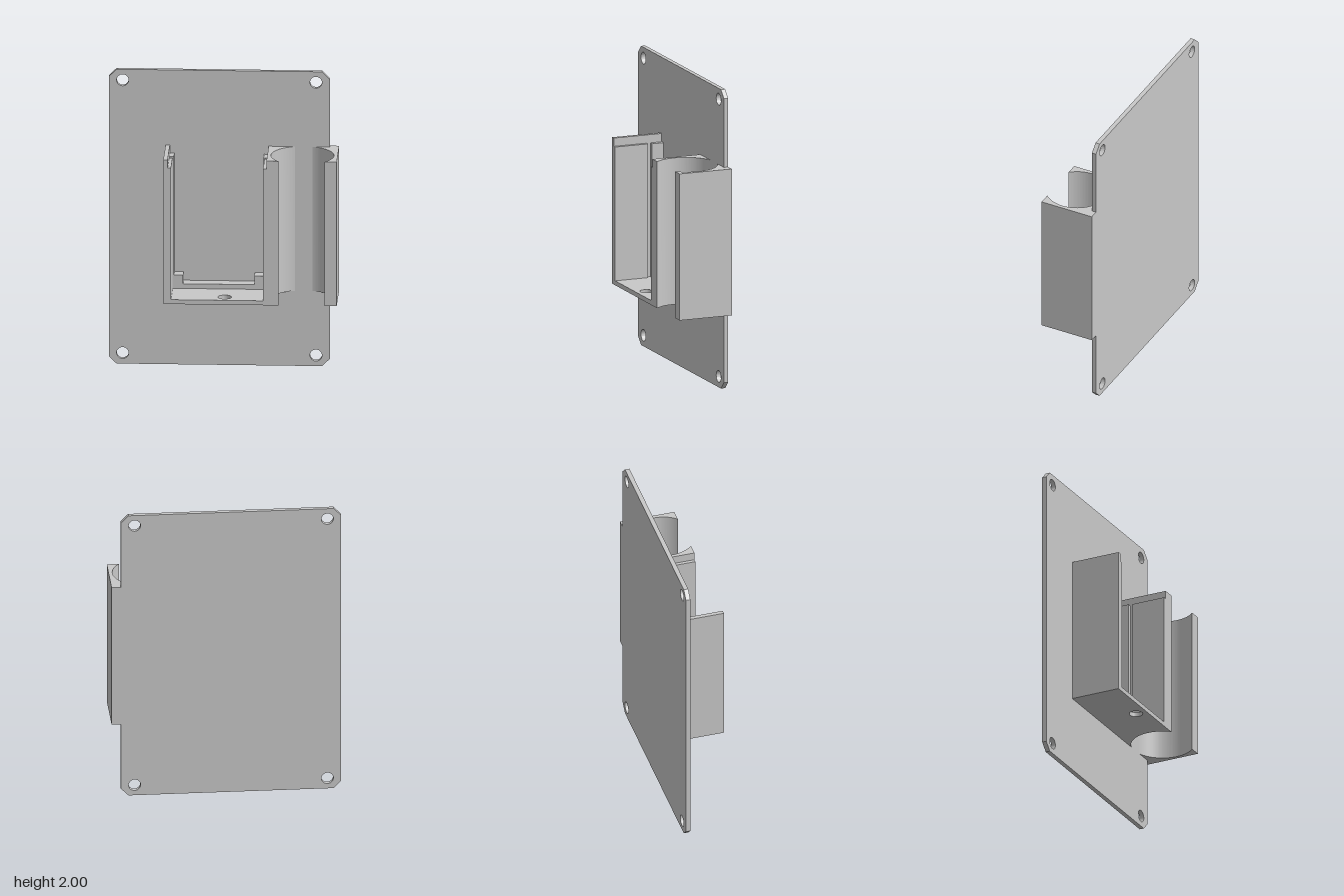
import * as THREE from 'three';
import { toCreasedNormals } from 'three/addons/utils/BufferGeometryUtils.js';

const BACK = -0.185, FACE = -0.155, FRONT = 0.183; // depth levels
const LIP = -0.074, RAIL = -0.047; // groove between back lip and rail
const LOW = 0.51, FLOOR = 0.54, LEDGE = 1.435, HIGH = 1.49; // height levels

export function createModel() {
  const model = new THREE.Group();
  const grey = new THREE.MeshStandardMaterial({ color: 0xc8c8c8 });
  grey.name = 'light grey plastic';

  const add = (name, geometry) => {
    const mesh = new THREE.Mesh(geometry, grey);
    mesh.name = name;
    model.add(mesh);
    return mesh;
  };
  const box = (name, x0, x1, y0, y1, z0, z1) =>
    add(name, new THREE.BoxGeometry(x1 - x0, y1 - y0, z1 - z0))
      .position.set((x0 + x1) / 2, (y0 + y1) / 2, (z0 + z1) / 2);
  const polygon = (points) => new THREE.Shape(points.map(([x, y]) => new THREE.Vector2(x, y)));
  const hole = (x, y, r) => new THREE.Path().absarc(x, y, r, 0, Math.PI * 2, true);
  const extrude = (shape, depth) => toCreasedNormals(
    new THREE.ExtrudeGeometry(shape, { depth, bevelEnabled: false, curveSegments: 32 }), 0.6);
  // Extrudes a plan outline, drawn as (x, -z), upwards
  const extrudeUp = (name, shape, y0, y1) =>
    add(name, extrude(shape, y1 - y0).rotateX(-Math.PI / 2).translate(0, y0, 0));

  // Back plate with clipped corners and four screw holes
  const L = -0.75, R = 0.69, c = 0.05;
  const plate = polygon([[L + c, 0], [R - c, 0], [R, c], [R, 2 - c],
    [R - c, 2], [L + c, 2], [L, 2 - c], [L, c]]);
  for (const x of [-0.66, 0.6]) {
    for (const y of [0.073, 1.927]) plate.holes.push(hole(x, y, 0.039));
  }
  add('backPlate', extrude(plate, FACE - BACK).translate(0, 0, BACK));

  // Pocket floor with a drain hole
  const floor = polygon([[-0.38, -FRONT], [0.292, -FRONT], [0.292, -FACE], [-0.38, -FACE]]);
  floor.holes.push(hole(0.018, -0.107, 0.044));
  extrudeUp('pocketFloor', floor, LOW, FLOOR);

  // Pocket outer wall and the low lip at the back of the floor
  box('pocketOuterWall', -0.38, -0.352, FLOOR, HIGH, FACE, FRONT);
  box('bottomLip', -0.322, 0.262, FLOOR, 0.572, FACE, LIP);

  // Mirrored inner rails, back lips and corner stops
  const middle = -0.03;
  for (const [side, s] of [['right', -1], ['left', 1]]) {
    const part = (name, a, b, y0, y1, z0, z1) => {
      const xs = [middle + s * a, middle + s * b].sort((p, q) => p - q);
      box(side + name, xs[0], xs[1], y0, y1, z0, z1);
    };
    part('InnerRail', 0.3, 0.322, FLOOR, LEDGE, RAIL, FRONT);
    part('BackLip', 0.292, 0.322, FLOOR, LEDGE, FACE, LIP);
    part('CornerStop', 0.232, 0.292, FLOOR, 0.63, FACE, LIP);
  }

  // Round open channel: two posts hollowed by one cylinder
  const cx = 0.521, cz = 0.042, r = 0.205;
  const front = Math.asin((FRONT - cz) / r), back = Math.asin((cz - FACE) / r);
  const inner = polygon([[0.292, -FACE], [0.292, -FRONT]]);
  inner.absarc(cx, -cz, r, Math.PI + front, Math.PI - back, true);
  extrudeUp('channelInnerPost', inner, LOW, HIGH);
  const outer = polygon([[R, -FACE], [R, -BACK], [0.75, -BACK], [0.75, -FRONT]]);
  outer.absarc(cx, -cz, r, -front, back, false);
  extrudeUp('channelOuterPost', outer, LOW, HIGH);

  return model;
}
